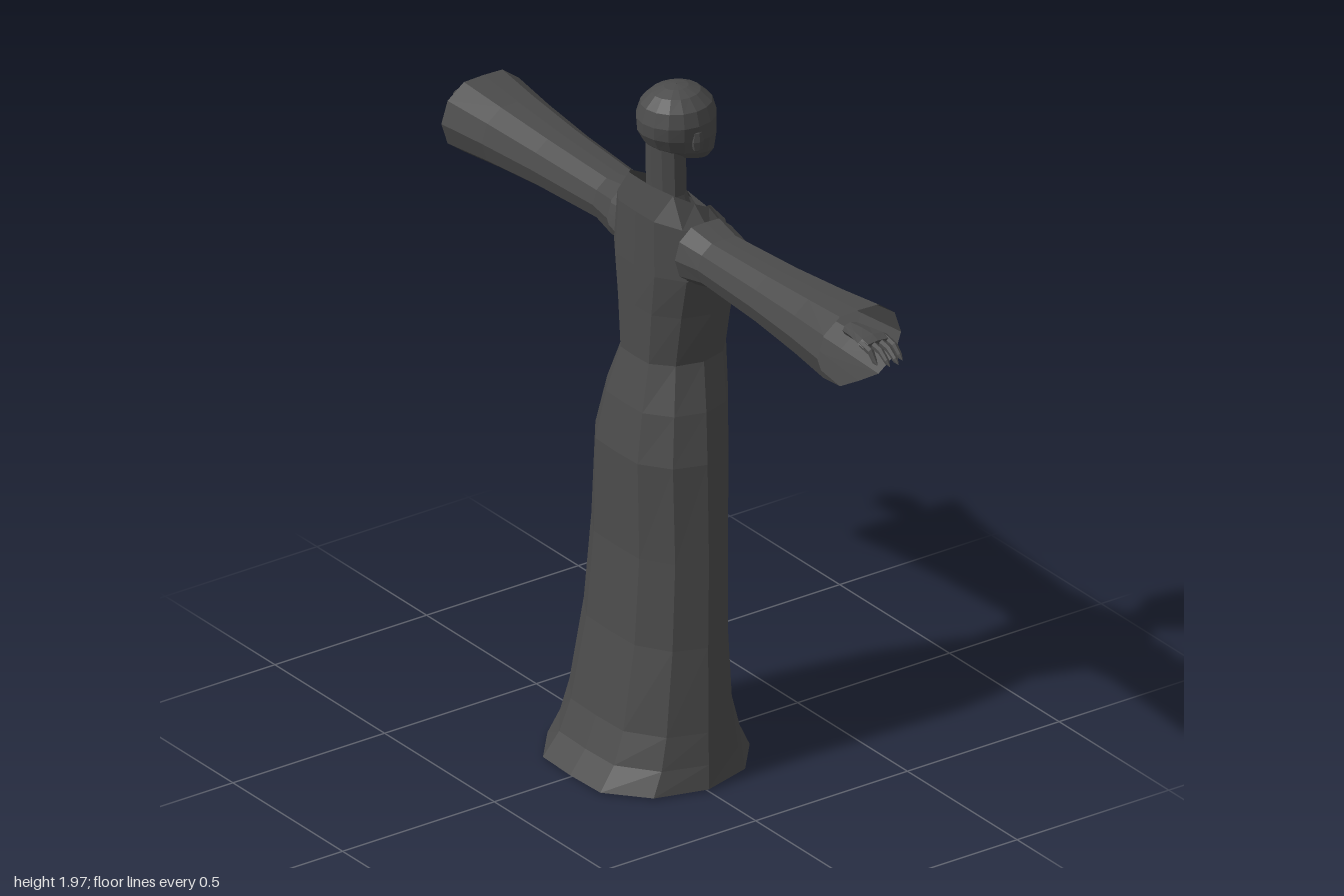
import * as THREE from 'three';

// Twelve-sided section with broad flat front and back panels, as [across, depth]
const PANEL = [[0, 1], [0.46, 0.98], [0.85, 0.6], [1, 0], [0.85, -0.6], [0.46, -0.98],
  [0, -1], [-0.46, -0.98], [-0.85, -0.6], [-1, 0], [-0.85, 0.6], [-0.46, 0.98]];

const circle = (n) => Array.from({ length: n }, (_, i) => {
  const a = (i / n) * Math.PI * 2;
  return [Math.sin(a), Math.cos(a)];
});

// Skin a list of rings of points; skip(i, j) leaves quads open
function loft(rings, skip = () => false) {
  const n = rings[0].length;
  const index = [];
  for (let i = 0; i < rings.length - 1; i++) {
    for (let j = 0; j < n; j++) {
      if (skip(i, j)) continue;
      const k = (j + 1) % n;
      const a = i * n + j, b = i * n + k, c = b + n, d = a + n;
      index.push(a, b, c, a, c, d);
    }
  }
  const geometry = new THREE.BufferGeometry();
  geometry.setAttribute('position', new THREE.Float32BufferAttribute(rings.flat(2), 3));
  geometry.setIndex(index);
  geometry.computeVertexNormals();
  return geometry;
}

// Upright ring: height, half width, z limits, slope along z, dip of the -z middle
const upRing = (section) => ([y, hx, zMax, zMin, tilt = 0, dip = 0]) => {
  const zc = (zMax + zMin) / 2, hz = (zMax - zMin) / 2;
  return section.map(([s, t]) => [s * hx, y + tilt * hz * t - (t === -1 ? dip : 0), zc + hz * t]);
};

// Sideways ring: x, centre y, half height, centre z, half depth
const sideRing = (section) => ([x, yc, hy, zc, hz]) =>
  section.map(([s, t]) => [x, yc + hy * t, zc + hz * s]);

export function createModel() {
  const model = new THREE.Group();
  model.name = 'robedFigure';
  const charcoal = new THREE.MeshStandardMaterial({ color: 0x4b4b4b });
  charcoal.name = 'charcoal';
  charcoal.flatShading = true;
  charcoal.side = THREE.DoubleSide;

  const add = (parent, name, geometry) => {
    const mesh = new THREE.Mesh(geometry, charcoal);
    mesh.name = name;
    parent.add(mesh);
    return mesh;
  };

  // Robe from hem to waist
  add(model, 'skirt', loft([
    [0.005, 0.285, 0.25, -0.252],
    [0.07, 0.272, 0.2, -0.222],
    [0.16, 0.26, 0.165, -0.2],
    [0.4, 0.238, 0.12, -0.186],
    [0.65, 0.225, 0.1, -0.19],
    [0.93, 0.208, 0.1, -0.205],
    [1.07, 0.18, 0.075, -0.213],
    [1.2, 0.14, 0.04, -0.22],
  ].map(upRing(PANEL))));

  // Bodice with open armholes and a raised, sloping neckline
  add(model, 'bodice', loft([
    [1.2, 0.14, 0.04, -0.22],
    [1.35, 0.165, 0.04, -0.235],
    [1.47, 0.195, 0.04, -0.232],
    [1.6, 0.175, 0.035, -0.205, 0.25],
    [1.665, 0.115, 0.02, -0.175, 0.58, 0.035],
  ].map(upRing(PANEL)), (i, j) => i === 2 && [2, 3, 8, 9].includes(j)));

  // Neck and head, face towards -z
  add(model, 'neck', loft([
    [1.58, 0.085, 0, -0.14],
    [1.67, 0.065, -0.018, -0.115],
    [1.82, 0.062, -0.015, -0.115],
  ].map(upRing(circle(10)))));
  add(model, 'head', loft([
    [1.765, 0.012, -0.08, -0.15, 0.1],
    [1.768, 0.062, -0.045, -0.195, 0.25],
    [1.795, 0.085, -0.008, -0.21, 0.2],
    [1.84, 0.1, 0.01, -0.214, 0.08],
    [1.885, 0.105, 0.012, -0.212],
    [1.925, 0.093, 0, -0.2],
    [1.955, 0.062, -0.03, -0.168],
    [1.968, 0.03, -0.065, -0.135],
    [1.973, 0.001, -0.099, -0.101],
  ].map(upRing(circle(16)))));
  const nose = add(model, 'nose', new THREE.ConeGeometry(0.013, 0.045, 4));
  nose.position.set(0, 1.835, -0.21);

  // Parts of each side, built on +x and mirrored
  for (const side of [1, -1]) {
    const half = new THREE.Group();
    half.name = side > 0 ? 'leftSide' : 'rightSide';
    half.scale.x = side;
    model.add(half);

    add(half, 'sleeve', loft([
      [0.155, 1.54, 0.085, -0.083, 0.1],
      [0.24, 1.541, 0.068, -0.083, 0.086],
      [0.5, 1.543, 0.078, -0.083, 0.1],
      [0.7, 1.544, 0.092, -0.083, 0.118],
      [0.857, 1.545, 0.106, -0.083, 0.138],
    ].map(sideRing(PANEL))));

    const hand = new THREE.Group();
    hand.name = 'hand';
    half.add(hand);
    add(hand, 'palm', loft([
      [0.8, 1.57, 0.001, -0.095, 0.001],
      [0.8, 1.57, 0.018, -0.095, 0.026],
      [0.85, 1.575, 0.018, -0.095, 0.034],
      [0.9, 1.577, 0.016, -0.096, 0.048],
      [0.925, 1.572, 0.012, -0.096, 0.046],
      [0.925, 1.572, 0.001, -0.096, 0.001],
    ].map(sideRing(circle(8)))));
    // Fingers droop towards their tips
    [[-0.133, 0.985], [-0.109, 1], [-0.084, 0.995], [-0.06, 0.972]].forEach(([z, tip], i) => {
      const mid = (0.915 + tip) / 2;
      add(hand, 'finger' + (i + 1), loft([
        [0.9, 1.575, 0.011, z, 0.011],
        [mid, 1.566, 0.01, z, 0.01],
        [tip - 0.012, 1.546, 0.008, z, 0.008],
        [tip, 1.538, 0.001, z, 0.001],
      ].map(sideRing(circle(6)))));
    });
    add(hand, 'thumb', loft([
      [0.85, 1.565, 0.012, -0.12, 0.012],
      [0.89, 1.547, 0.011, -0.14, 0.011],
      [0.93, 1.532, 0.008, -0.148, 0.008],
      [0.942, 1.528, 0.001, -0.148, 0.001],
    ].map(sideRing(circle(6)))));

    const ear = add(half, 'ear', new THREE.SphereGeometry(1, 6, 4));
    ear.scale.set(0.012, 0.036, 0.02);
    ear.position.set(0.097, 1.84, -0.1);

    // Shoe under the hem, toe towards -z
    const shoe = add(half, 'shoe', new THREE.SphereGeometry(1, 8, 4, 0, Math.PI * 2, 0, Math.PI / 2));
    shoe.scale.set(0.045, 0.08, 0.12);
    shoe.position.set(0.11, 0, -0.09);
    const sole = add(half, 'sole', new THREE.CircleGeometry(1, 8));
    sole.rotation.x = Math.PI / 2;
    sole.scale.set(0.045, 0.12, 1);
    sole.position.set(0.11, 0, -0.09);
  }
  return model;
}
